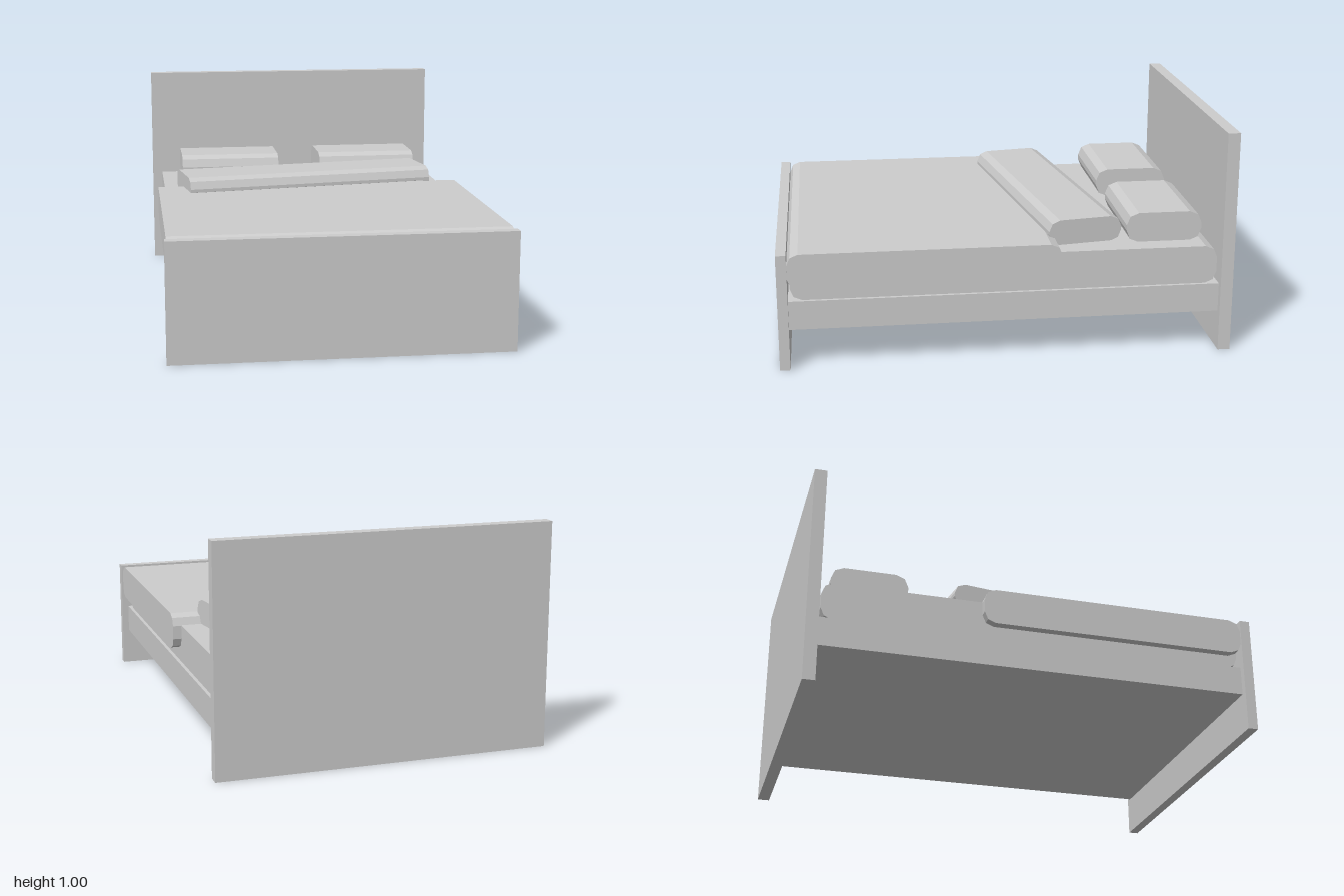
import * as THREE from 'three';

const grey = new THREE.MeshStandardMaterial({ color: 0xcccccc, flatShading: true });
grey.name = 'plainGrey';

// Straight-edged board given by its limits
function board(name, halfWidth, y0, y1, z0, z1) {
  const mesh = new THREE.Mesh(new THREE.BoxGeometry(halfWidth * 2, y1 - y0, z1 - z0), grey);
  mesh.position.set(0, (y0 + y1) / 2, (z0 + z1) / 2);
  mesh.name = name;
  return mesh;
}

// Cushion: a z-y rectangle with two-step rounded corners, swept along x
function cushion(name, length, height, depth, r) {
  const points = [];
  const corners = [[1, 1], [-1, 1], [-1, -1], [1, -1]];
  corners.forEach(([sx, sy], i) => {
    for (let k = 0; k <= 2; k++) {
      const a = (i + k / 2) * Math.PI / 2;
      points.push(new THREE.Vector2(
        sx * (depth / 2 - r) + r * Math.cos(a),
        sy * (height / 2 - r) + r * Math.sin(a)));
    }
  });
  const geometry = new THREE.ExtrudeGeometry(new THREE.Shape(points), { depth: length, bevelEnabled: false });
  geometry.translate(0, 0, -length / 2);
  geometry.rotateY(-Math.PI / 2);
  const mesh = new THREE.Mesh(geometry, grey);
  mesh.name = name;
  return mesh;
}

export function createModel() {
  const bed = new THREE.Group();
  bed.name = 'bed';

  // Frame
  bed.add(board('headboard', 0.743, 0, 1, -1, -0.945));
  bed.add(board('footboard', 0.743, 0, 0.525, 0.955, 1));
  bed.add(board('bedBase', 0.712, 0.175, 0.305, -0.945, 0.955));

  // Mattress and the duvet that overhangs it
  const mattress = cushion('mattress', 1.394, 0.172, 1.88, 0.052);
  mattress.position.set(0, 0.391, 0.005);
  const duvet = cushion('duvet', 1.47, 0.16, 1.19, 0.05);
  duvet.position.set(0, 0.445, 0.36);
  bed.add(mattress, duvet);

  // Pair of pillows
  for (const side of [1, -1]) {
    const pillow = cushion(side > 0 ? 'leftPillow' : 'rightPillow', 0.493, 0.135, 0.34, 0.055);
    pillow.position.set(side * 0.354, 0.543, -0.715);
    bed.add(pillow);
  }

  // Long bolster lying askew
  const bolster = cushion('bolster', 1.21, 0.115, 0.337, 0.05);
  bolster.position.set(-0.013, 0.533, -0.27);
  bolster.rotation.y = 0.153;
  bed.add(bolster);

  return bed;
}
